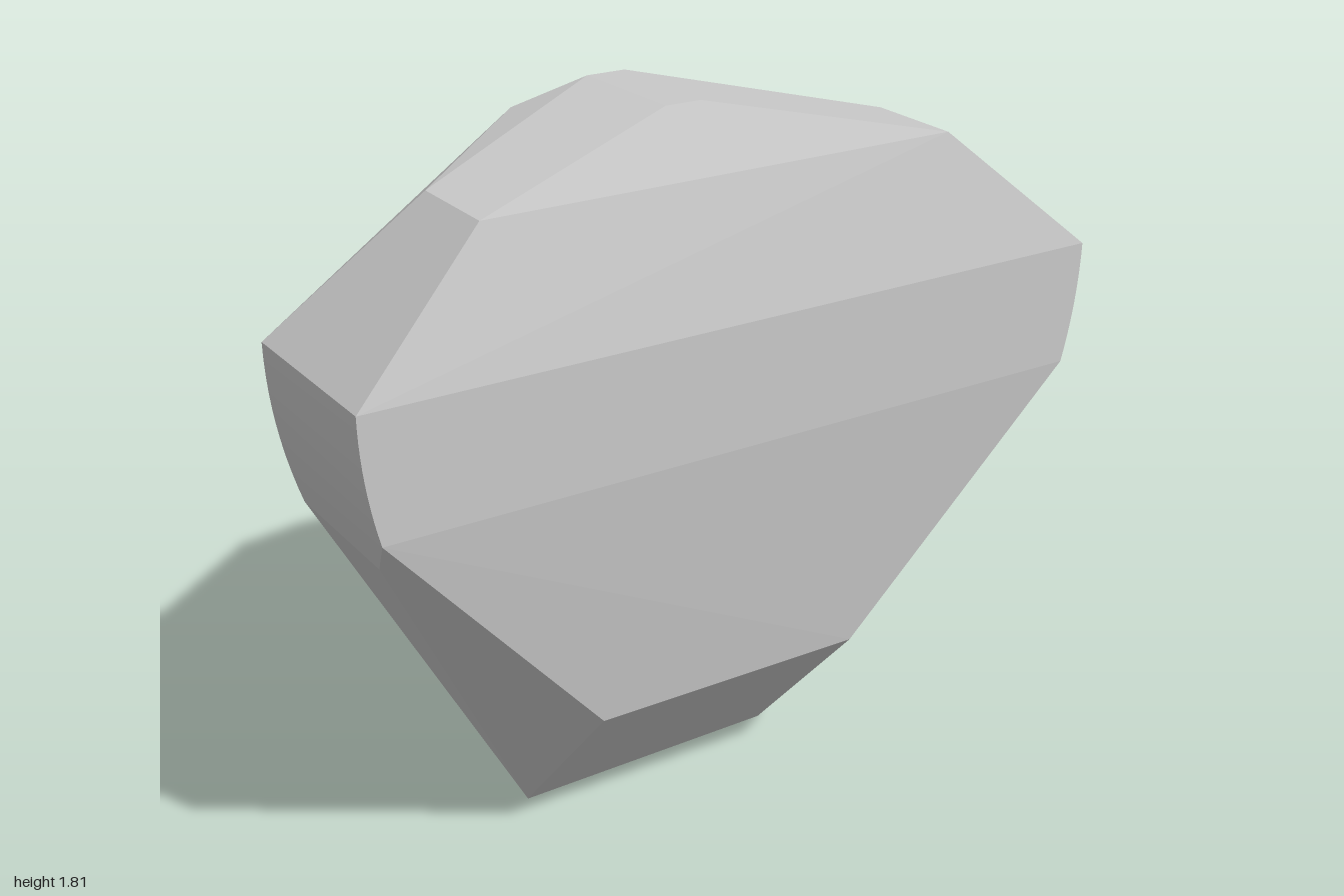
import * as THREE from 'three';
import { ConvexGeometry } from 'three/addons/geometries/ConvexGeometry.js';

export function createModel() {
  const model = new THREE.Group();
  model.name = 'facetedStone';
  const stone = new THREE.MeshStandardMaterial({ color: 0xc8c8c8 });
  stone.name = 'light stone grey';

  const points = [];
  const add = (x, y, z) => points.push(new THREE.Vector3(x, y, z));

  // rounded flanks, pointed base and lower front edge, mirrored
  const flank = (y) => 1 - 0.42 * (1.43 - y) ** 2;
  for (const s of [-1, 1]) {
    const front = s < 0 ? 0.42 : 0.4;
    for (let i = 0; i <= 10; i++) {
      const yBack = 1.43 - 0.041 * i;
      const yFront = 1.43 - 0.031 * i;
      add(s * flank(yBack), yBack, -0.07);
      add(s * flank(yFront), yFront, front);
    }
    add(s * 0.93, 1.02, 0.33);
    add(s * 0.37, s < 0 ? 0 : 0.01, -0.07);
    add(s * 0.37, 0.45, 0.33);
  }

  // upper shoulders
  add(-0.655, 1.76, 0.33);
  add(-0.655, 1.76, 0.08);
  add(0.6, 1.76, 0.33);
  add(0.6, 1.76, 0.07);

  // crown ridge
  for (const x of [0.06, 0.16]) add(x, 1.81, -0.07);

  // flat back face outline
  const back = [
    [0.52, 1.56], [0.16, 1.81], [0.05, 1.81], [-0.17, 1.76],
    [-0.4, 1.53], [-0.4, 1.295], [-0.235, 0.785], [0.06, 0.785], [0.52, 1.255],
  ];
  for (const [x, y] of back) add(x, y, -0.42);

  const body = new THREE.Mesh(new ConvexGeometry(points), stone);
  body.name = 'stoneBody';
  model.add(body);
  return model;
}
